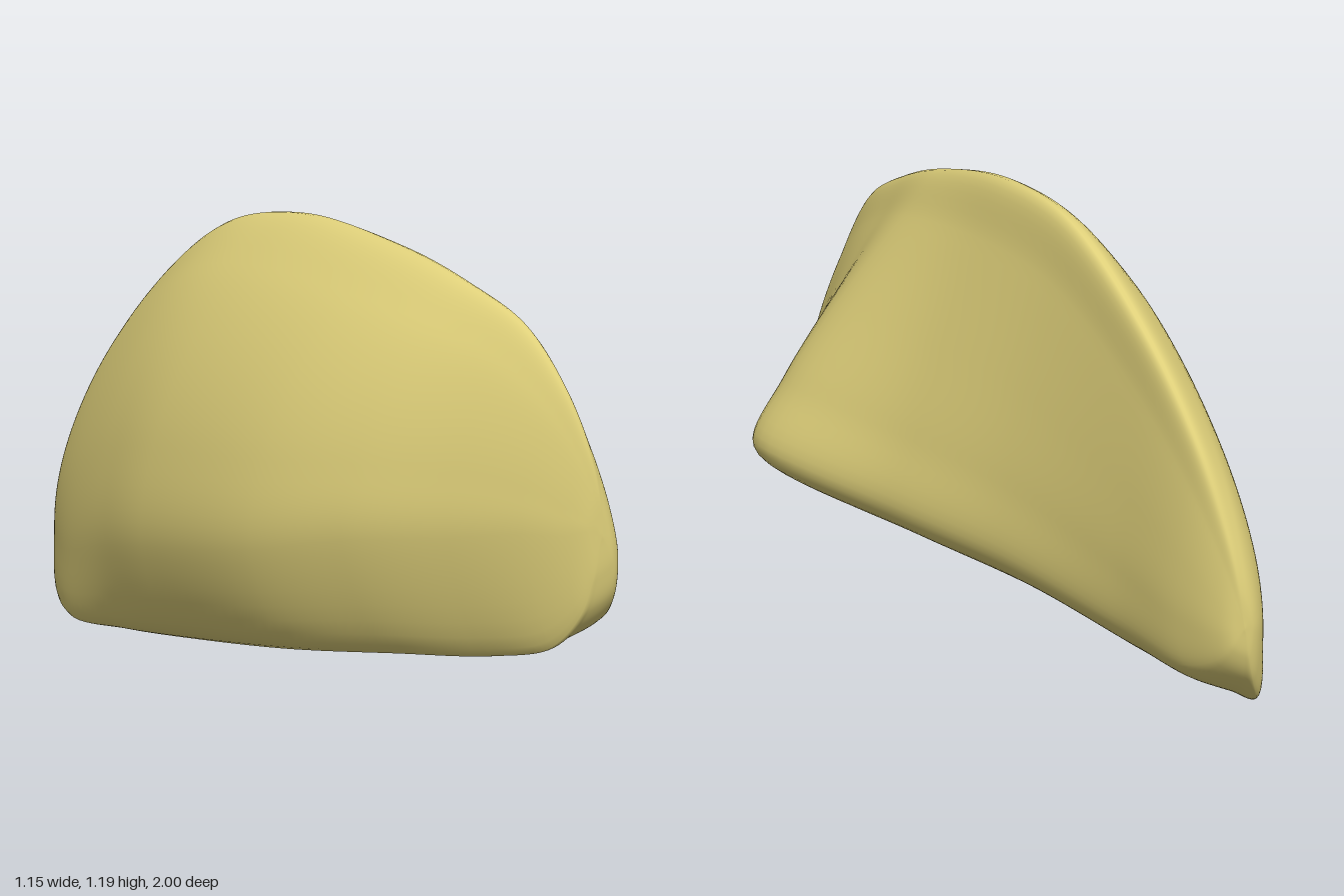
import * as THREE from 'three';
import { mergeVertices } from 'three/addons/utils/BufferGeometryUtils.js';

// Cross-sections from back to front: z, then x,y of the top ridge,
// the widest left point, the lower left edge and the lower right edge,
// and how far the right face bulges.
const SECTIONS = [
  [-1.0, -0.47, 0.28, -0.47, 0.28, -0.47, 0.28, -0.47, 0.28, 0],
  [-0.993, -0.455, 0.38, -0.495, 0.27, -0.485, 0.2, -0.44, 0.23, 0.06],
  [-0.965, -0.43, 0.5, -0.52, 0.25, -0.505, 0.13, -0.41, 0.19, 0.06],
  [-0.88, -0.37, 0.71, -0.55, 0.22, -0.54, 0.045, -0.345, 0.15, 0.05],
  [-0.7, -0.28, 0.94, -0.57, 0.2, -0.55, 0.0, -0.23, 0.18, 0.045],
  [-0.4, -0.165, 1.14, -0.555, 0.26, -0.49, 0.025, 0.0, 0.255, 0.04],
  [-0.1, -0.065, 1.183, -0.52, 0.31, -0.42, 0.06, 0.25, 0.3, 0.04],
  [0.34, 0.035, 1.125, -0.39, 0.37, -0.28, 0.115, 0.57, 0.35, 0.04],
  [0.6, 0.1, 1.055, -0.225, 0.43, -0.1, 0.145, 0.485, 0.31, 0.04],
  [0.8, 0.165, 0.965, -0.03, 0.46, 0.08, 0.165, 0.4, 0.27, 0.05],
  [0.92, 0.21, 0.83, 0.11, 0.48, 0.185, 0.2, 0.347, 0.29, 0.08],
  [0.975, 0.245, 0.7, 0.195, 0.48, 0.235, 0.28, 0.328, 0.34, 0.08],
  [0.995, 0.268, 0.59, 0.24, 0.49, 0.26, 0.37, 0.312, 0.41, 0.06],
  [1.0, 0.28, 0.48, 0.28, 0.48, 0.28, 0.48, 0.28, 0.48, 0],
];

// Loop of control points, counter-clockwise seen from the front
function controlLoop([z, tx, ty, wx, wy, lx, ly, cx, cy, bulge]) {
  const p = (x, y) => new THREE.Vector3(x, y, z);
  const left = (u, v) => p(wx + (tx - wx) * u, wy + (ty - wy) * v);
  const T = p(tx, ty), W = p(wx, wy), L = p(lx, ly), C = p(cx, cy);
  // point between a and b, pushed out by a share of their distance
  const between = (a, b, t, out) => a.clone().lerp(b, t)
    .add(new THREE.Vector3((b.y - a.y) * out, (a.x - b.x) * out, 0));
  return [
    T, left(0.64, 0.85), left(0.31, 0.6), left(0.08, 0.3), W, L,
    between(L, C, 0.25, 0.03), between(L, C, 0.75, 0.07), C,
    between(C, T, 0.22, bulge * 0.9), between(C, T, 0.5, bulge), between(C, T, 0.82, bulge * 0.55),
  ];
}

function pebbleGeometry(rows = 130, cols = 96) {
  const loops = SECTIONS.map(controlLoop);
  const rails = loops[0].map((_, k) => new THREE.CatmullRomCurve3(loops.map((l) => l[k])));
  const positions = [], index = [];
  for (let i = 0; i <= rows; i++) {
    const ring = new THREE.CatmullRomCurve3(rails.map((r) => r.getPoint(i / rows)), true);
    for (let j = 0; j < cols; j++) positions.push(...ring.getPoint(j / cols).toArray());
  }
  for (let i = 0; i < rows; i++) {
    for (let j = 0; j < cols; j++) {
      const n = (j + 1) % cols;
      const a = i * cols + j, b = i * cols + n, c = a + cols, d = b + cols;
      if (i > 0) index.push(a, b, c);
      if (i < rows - 1) index.push(b, d, c);
    }
  }
  const geometry = new THREE.BufferGeometry();
  geometry.setAttribute('position', new THREE.Float32BufferAttribute(positions, 3));
  geometry.setIndex(index);
  const merged = mergeVertices(geometry, 1e-5);
  merged.computeVertexNormals();
  return merged;
}

export function createModel() {
  const group = new THREE.Group();
  group.name = 'pebble';
  const stone = new THREE.Mesh(
    pebbleGeometry(),
    new THREE.MeshStandardMaterial({ color: 0xdfd07a })
  );
  stone.name = 'stone';
  // rest on the ground
  stone.geometry.computeBoundingBox();
  stone.position.y = -stone.geometry.boundingBox.min.y;
  group.add(stone);
  return group;
}
